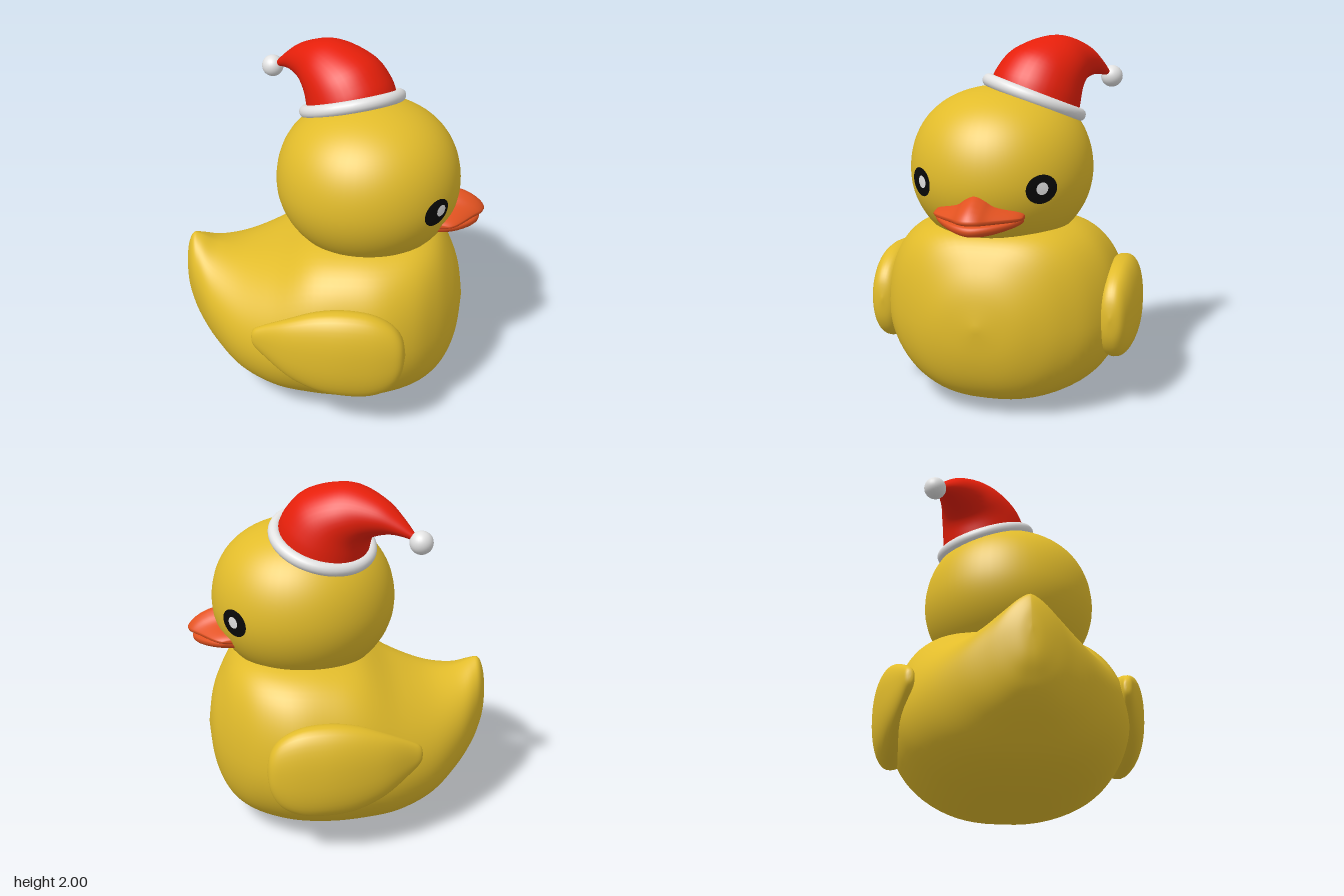
import * as THREE from 'three';
import { mergeVertices } from 'three/addons/utils/BufferGeometryUtils.js';

const mat = (name, color) => {
  const m = new THREE.MeshStandardMaterial({ color });
  m.name = name;
  return m;
};

// Smoothly subdivide a short table of cross-section measurements
function refine(rows, sub = 5) {
  const out = [];
  const at = (i) => rows[Math.min(rows.length - 1, Math.max(0, i))];
  for (let i = 0; i < rows.length - 1; i++) {
    for (let k = 0; k < sub; k++) {
      const t = k / sub;
      out.push(rows[i].map((_, c) => {
        const [a, b, d, e] = [at(i - 1)[c], at(i)[c], at(i + 1)[c], at(i + 2)[c]];
        return 0.5 * (2 * b + (d - a) * t + (2 * a - 5 * b + 4 * d - e) * t * t + (3 * b - a - 3 * d + e) * t * t * t);
      }));
    }
  }
  out.push(rows[rows.length - 1]);
  return out;
}

// Skin closed rings; point(row, cos, sin) returns one ring point
function loft(rows, point, seg = 40) {
  const rings = refine(rows), pos = [], idx = [];
  for (const row of rings) {
    for (let j = 0; j < seg; j++) {
      const a = (j / seg) * Math.PI * 2;
      pos.push(...point(row, Math.cos(a), Math.sin(a)));
    }
  }
  for (let i = 0; i < rings.length - 1; i++) {
    for (let j = 0; j < seg; j++) {
      const a = i * seg + j, b = i * seg + (j + 1) % seg;
      idx.push(a, b, a + seg, b, b + seg, a + seg);
    }
  }
  // Make faces point outward
  const v = (i) => new THREE.Vector3().fromArray(pos, i * 3);
  const origin = v(0);
  let volume = 0;
  for (let i = 0; i < idx.length; i += 3) {
    const [a, b, c] = [0, 1, 2].map((k) => v(idx[i + k]).sub(origin));
    volume += a.dot(b.cross(c));
  }
  if (volume < 0) idx.reverse();
  let g = new THREE.BufferGeometry();
  g.setAttribute('position', new THREE.Float32BufferAttribute(pos, 3));
  g.setIndex(idx);
  g = mergeVertices(g, 1e-5);
  g.computeVertexNormals();
  return g;
}

const spow = (v, p) => Math.sign(v) * Math.pow(Math.abs(v), p);

const HEAD = new THREE.Vector3(0.2, 1.295, 0.012);
const HEAD_R = new THREE.Vector3(0.51, 0.45, 0.497);
// Relative head radius at height h (-1 to 1), fuller above the middle
const headRound = (h) => Math.sqrt(Math.max(0, 1 - h * h)) * (h > 0 ? 1 + 0.12 * h * h : 1);

function headShape() {
  const rows = [];
  for (let i = 0; i <= 12; i++) rows.push([-Math.cos((i / 12) * Math.PI)]);
  return loft(rows, ([h], c, s) => [
    HEAD.x + HEAD_R.x * headRound(h) * c, HEAD.y + HEAD_R.y * h, HEAD.z + HEAD_R.z * headRound(h) * s,
  ], 56);
}

// Thin oval that follows the curve of the head
function headPatch(angle, y, halfAngle, halfHeight, lift) {
  const g = new THREE.RingGeometry(0.001, 1, 36, 5);
  const p = g.attributes.position;
  for (let i = 0; i < p.count; i++) {
    const a = angle - p.getX(i) * halfAngle;
    const h = (y + p.getY(i) * halfHeight - HEAD.y) / HEAD_R.y;
    const r = headRound(h);
    p.setXYZ(i,
      HEAD.x + (HEAD_R.x + lift) * r * Math.cos(a),
      HEAD.y + HEAD_R.y * h,
      HEAD.z + (HEAD_R.z + lift) * r * Math.sin(a));
  }
  g.computeVertexNormals();
  return g;
}

export function createModel() {
  const yellow = mat('yellow', 0xe2bc2b);
  const orange = mat('orange', 0xe25220);
  const red = mat('red', 0xe61f0a);
  const white = mat('white', 0xe2e2e2);
  const black = mat('black', 0x090909);

  const model = new THREE.Group();
  const add = (name, geometry, material) => {
    const m = new THREE.Mesh(geometry, material);
    m.name = name;
    model.add(m);
    return m;
  };

  // Body with upturned tail: x, top, bottom, half width, upper sharpness
  add('body', loft([
    [-0.852, 0.68, 0.68, 0, 1.4],
    [-0.842, 0.80, 0.54, 0.06, 1.4],
    [-0.81, 0.885, 0.445, 0.135, 1.4],
    [-0.76, 0.882, 0.355, 0.215, 1.35],
    [-0.66, 0.842, 0.25, 0.345, 1.2],
    [-0.5, 0.836, 0.125, 0.49, 0.95],
    [-0.3, 0.895, 0.048, 0.595, 0.72],
    [-0.1, 1.0, 0.015, 0.645, 0.55],
    [0.1, 1.03, 0.006, 0.66, 0.47],
    [0.3, 1.035, 0.025, 0.65, 0.47],
    [0.48, 1.025, 0.06, 0.565, 0.52],
    [0.6, 0.97, 0.115, 0.445, 0.6],
    [0.68, 0.85, 0.215, 0.32, 0.75],
    [0.73, 0.72, 0.36, 0.19, 0.9],
    [0.755, 0.545, 0.545, 0, 1],
  ], ([x, top, bottom, w, p], c, s) => {
    const mid = bottom + (top - bottom) * 0.48;
    return [x, mid + s * (s > 0 ? top - mid : mid - bottom), w * spow(c, s > 0 ? p : 0.78)];
  }, 72), yellow);

  // Head
  add('head', headShape(), yellow);

  // Wings: x, top, bottom, centre z, half thickness
  for (const side of [1, -1]) {
    add(side > 0 ? 'leftWing' : 'rightWing', loft([
      [-0.405, 0.575, 0.575, 0.57, 0],
      [-0.395, 0.625, 0.535, 0.575, 0.025],
      [-0.34, 0.665, 0.48, 0.59, 0.04],
      [-0.2, 0.735, 0.375, 0.625, 0.075],
      [-0.05, 0.79, 0.305, 0.637, 0.105],
      [0.1, 0.81, 0.28, 0.642, 0.118],
      [0.25, 0.795, 0.285, 0.645, 0.108],
      [0.36, 0.74, 0.335, 0.645, 0.085],
      [0.42, 0.66, 0.43, 0.645, 0.055],
      [0.44, 0.555, 0.555, 0.645, 0],
    ], ([x, top, bottom, z, d], c, s) => [
      x, (top + bottom) / 2 + (top - bottom) / 2 * spow(s, 0.9), side * (z + d * spow(c, 0.85)),
    ]), yellow);
  }

  // Beak: half of each lip as z, front x, top, middle, bottom, then mirrored
  const lip = (half, power) => loft(
    [...half, ...half.slice(0, -1).reverse().map(([z, ...r]) => [-z, ...r])],
    ([z, front, top, mid, bottom], c, s) => [
      0.58 + (front - 0.58) * spow(c, 0.9),
      mid + (s > 0 ? (top - mid) * Math.pow(s, power[0]) : -(mid - bottom) * Math.pow(-s, power[1])),
      z + HEAD.z,
    ], 32);
  add('upperBeak', lip([
    [-0.24, 0.63, 1.13, 1.13, 1.13],
    [-0.235, 0.665, 1.145, 1.13, 1.115],
    [-0.2, 0.71, 1.165, 1.132, 1.105],
    [-0.1, 0.79, 1.197, 1.132, 1.1],
    [-0.05, 0.835, 1.235, 1.132, 1.1],
    [0, 0.85, 1.258, 1.132, 1.1],
  ], [1.5, 0.6]), orange);
  add('lowerBeak', lip([
    [-0.235, 0.63, 1.12, 1.12, 1.12],
    [-0.225, 0.66, 1.125, 1.11, 1.09],
    [-0.18, 0.72, 1.122, 1.1, 1.067],
    [-0.09, 0.795, 1.118, 1.088, 1.038],
    [0, 0.825, 1.116, 1.08, 1.026],
  ], [0.6, 0.75]), orange);

  // Eyes with highlights
  for (const [name, eye, shine] of [['left', 42, 39.2], ['right', -40.5, -40.5]]) {
    const rad = THREE.MathUtils.degToRad;
    add(name + 'Eye', headPatch(rad(eye), 1.271, 0.178, 0.077, 0.005), black);
    add(name + 'EyeHighlight', headPatch(rad(shine), 1.276, 0.066, 0.033, 0.009), white);
  }

  // Hat cone drooping backward: upper edge (s, y), lower edge (s, y), half width
  const base = new THREE.Vector3(0.1, 1.672, -0.14);
  const [hx, hz] = [-0.815, -0.58];
  add('hat', loft([
    [-0.24, 1.75, 0.24, 1.57, 0.25],
    [-0.2, 1.835, 0.25, 1.62, 0.245],
    [-0.1, 1.935, 0.265, 1.68, 0.225],
    [0.06, 1.99, 0.29, 1.72, 0.19],
    [0.2, 1.997, 0.335, 1.745, 0.145],
    [0.36, 1.94, 0.41, 1.765, 0.095],
    [0.47, 1.86, 0.47, 1.765, 0.055],
    [0.55, 1.785, 0.53, 1.755, 0.02],
  ], ([us, uy, ls, ly, w], c, s) => {
    const along = (us + ls) / 2 + (us - ls) / 2 * s;
    return [base.x + hx * along + hz * w * c, (uy + ly) / 2 + (uy - ly) / 2 * s, base.z + hz * along - hx * w * c];
  }), red);

  // Hat trim and pompom
  const trim = add('hatTrim', new THREE.TorusGeometry(0.263, 0.036, 16, 56), white);
  trim.position.copy(base);
  trim.quaternion.setFromUnitVectors(new THREE.Vector3(0, 0, 1), new THREE.Vector3(-0.21, 1, -0.34).normalize());
  add('pompom', new THREE.SphereGeometry(0.062, 28, 20), white).position.set(-0.38, 1.745, -0.475);

  return model;
}
